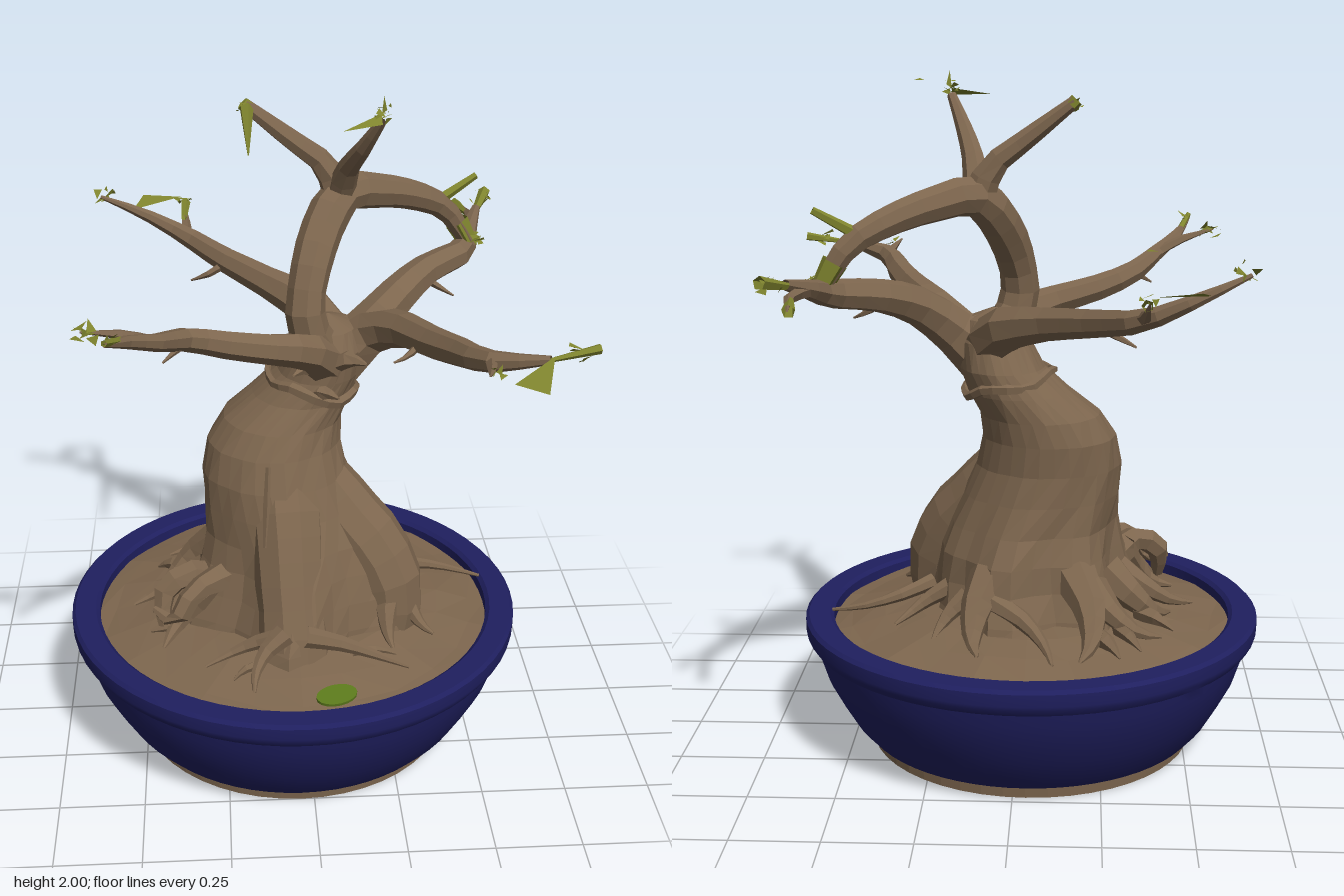
import * as THREE from 'three';
import { toCreasedNormals } from 'three/addons/utils/BufferGeometryUtils.js';

const CX = -0.037, CZ = 0.013; // pot centre

const material = (name, color, opts = {}) => {
  const m = new THREE.MeshStandardMaterial({ color, ...opts });
  m.name = name;
  return m;
};

// small seeded generator
function seeded(seed) {
  let s = seed;
  return () => (s = (s * 16807) % 2147483647) / 2147483647;
}

export function createModel() {
  const model = new THREE.Group();
  const glaze = material('blue glaze', 0x1f1f5f);
  const bark = material('brown bark', 0x7d664e, { flatShading: true, side: THREE.DoubleSide });
  const leafGreen = material('olive leaf', 0x7f842e, { flatShading: true, side: THREE.DoubleSide });
  const moss = material('green moss', 0x5c7a1c);
  const rand = seeded(77);

  const add = (name, geometry, mat, parent = model) => {
    const mesh = new THREE.Mesh(geometry, mat);
    mesh.name = name;
    parent.add(mesh);
    return mesh;
  };
  const group = (name) => {
    const g = new THREE.Group();
    g.name = name;
    model.add(g);
    return g;
  };
  const lathe = (profile, sides) =>
    new THREE.LatheGeometry(profile.map(([r, y]) => new THREE.Vector2(r, y)), sides).translate(CX, 0, CZ);

  // Tapered limb through points, radii spread evenly along its length
  function limb(name, points, radii, sides = 7, mat = bark, parent = model) {
    const curve = new THREE.CatmullRomCurve3(points.map((p) => new THREE.Vector3(...p)));
    const seg = Math.max(4, (points.length - 1) * 2);
    const geo = new THREE.TubeGeometry(curve, seg, 1, sides);
    const pos = geo.attributes.position, v = new THREE.Vector3();
    for (let i = 0; i <= seg; i++) {
      const c = curve.getPointAt(i / seg);
      const f = (i / seg) * (radii.length - 1), k = Math.min(Math.floor(f), radii.length - 2);
      const r = THREE.MathUtils.lerp(radii[k], radii[k + 1], f - k);
      for (let j = 0; j <= sides; j++) {
        const n = i * (sides + 1) + j;
        v.fromBufferAttribute(pos, n).sub(c).multiplyScalar(r).add(c);
        pos.setXYZ(n, v.x, v.y, v.z);
      }
    }
    return add(name, geo, mat, parent);
  }

  // Pot: bowl with rolled rim, unglazed foot
  const bowl = lathe([[0.48, 0.04], [0.51, 0.04], [0.55, 0.085], [0.588, 0.15], [0.625, 0.22], [0.646, 0.285],
    [0.655, 0.325], [0.668, 0.328], [0.682, 0.348], [0.685, 0.36], [0.685, 0.395], [0.675, 0.405],
    [0.612, 0.405], [0.6, 0.395], [0.6, 0.33]], 64);
  add('potBowl', toCreasedNormals(bowl, 0.6), glaze);
  add('potFoot', lathe([[0, 0], [0.487, 0], [0.49, 0.03], [0.488, 0.046], [0.45, 0.046]], 48), bark);

  // Soil: uneven low mound
  const soil = lathe([[0.605, 0.365], [0.55, 0.375], [0.45, 0.4], [0.35, 0.42], [0.2, 0.435], [0, 0.44]], 24);
  const sp = soil.attributes.position;
  for (let i = 0; i < sp.count; i++) {
    const x = sp.getX(i), z = sp.getZ(i);
    sp.setY(i, sp.getY(i) + 0.007 * Math.sin(x * 17 + 1) * Math.cos(z * 14));
  }
  add('soil', soil, bark);

  // Trunk: stacked rings [y, x, z, radius x, radius z, lobe strength]
  const rings = [
    [0.38, -0.03, 0.03, 0.335, 0.345, 0.45], [0.44, -0.03, 0.03, 0.32, 0.33, 0.42], [0.52, -0.02, 0.03, 0.3, 0.3, 0.36],
    [0.6, -0.02, 0.02, 0.28, 0.28, 0.28], [0.68, -0.035, 0.02, 0.255, 0.25, 0.18], [0.77, -0.065, 0.01, 0.236, 0.225, 0.08],
    [0.86, -0.088, 0, 0.217, 0.208, 0.04], [0.95, -0.09, -0.02, 0.198, 0.196, 0.02], [1.02, -0.065, -0.035, 0.176, 0.182, 0],
    [1.09, -0.005, -0.05, 0.15, 0.163, 0], [1.16, 0.045, -0.05, 0.123, 0.153, 0], [1.24, 0.07, -0.035, 0.103, 0.138, 0],
    [1.3, 0.07, -0.03, 0.08, 0.1, 0], [1.33, 0.07, -0.03, 0.005, 0.005, 0]];
  const lobes = [[95, 1.05, 24], [28, 0.95, 26], [165, 0.9, 28], [228, 0.8, 22], [282, 0.85, 20], [330, 0.4, 16]];
  const sides = 30, verts = [], index = [];
  rings.forEach(([y, x, z, rx, rz, a], i) => {
    for (let j = 0; j < sides; j++) {
      const deg = (j / sides) * 360, t = THREE.MathUtils.degToRad(deg);
      let bump = 0;
      for (const [at, amp, w] of lobes) {
        const d = ((deg - at + 540) % 360) - 180;
        bump += amp * Math.exp(-((d / w) ** 2));
      }
      const k = 1 + a * (bump - 0.6) + 0.012 * Math.sin(j * 2.3 + i * 1.7);
      verts.push(x + rx * k * Math.cos(t), y, z + rz * k * Math.sin(t));
      if (i < rings.length - 1) {
        const p = i * sides + j, q = i * sides + ((j + 1) % sides);
        index.push(p, p + sides, q, q, p + sides, q + sides);
      }
    }
  });
  const trunk = new THREE.BufferGeometry();
  trunk.setAttribute('position', new THREE.Float32BufferAttribute(verts, 3));
  trunk.setIndex(index);
  trunk.computeVertexNormals();
  add('trunk', trunk, bark);

  // Swollen legs at the foot of the trunk
  limb('rightLeg', [[0, 0.88, 0.02], [0.1, 0.74, 0.07], [0.2, 0.62, 0.12], [0.245, 0.51, 0.15], [0.24, 0.39, 0.16]],
    [0.09, 0.11, 0.115, 0.11, 0.095], 10);
  limb('frontLeg', [[-0.07, 0.88, 0.07], [-0.06, 0.72, 0.17], [-0.055, 0.56, 0.25], [-0.05, 0.47, 0.29], [-0.05, 0.39, 0.31]],
    [0.1, 0.115, 0.11, 0.105, 0.115], 10);

  // Rough collar, knots and seam in the bark
  const collar = [];
  for (let i = 0; i <= 12; i++) {
    const t = (i / 12) * Math.PI * 2;
    collar.push([0.025 + 0.132 * Math.cos(t), 1.12 - 0.03 * Math.cos(t) + 0.012 * Math.sin(i * 2.1), -0.05 + 0.152 * Math.sin(t)]);
  }
  limb('barkCollar', collar, [0.012, 0.02, 0.01, 0.018, 0.012], 5);
  limb('barkSeam', [[-0.13, 0.72, 0.26], [-0.122, 0.82, 0.22], [-0.115, 0.94, 0.178]], [0.006, 0.012, 0.008], 4);
  for (const [x, y, z, dx, dz] of [[0.12, 1.24, 0.1, 0.05, 0.03], [0, 1.22, 0.1, -0.04, 0.05],
    [0.13, 1.29, -0.06, 0.03, -0.03], [0.05, 1.14, 0.1, 0.04, 0.04], [0.03, 1.3, -0.1, -0.05, -0.03]])
    limb('barkKnot', [[x - dx, y - 0.03, z - dz], [x, y, z], [x + dx, y - 0.005, z + dz]], [0.03, 0.026, 0.004], 5);

  // Surface roots: [start x, z, end x, z, radius, sideways bend, forked]
  const roots = group('roots');
  const rootList = [
    [0.07, -0.2, 0.11, -0.43, 0.06, 0.03, 0], [0.06, -0.26, -0.12, -0.48, 0.032, -0.04, 0], [0.14, -0.2, 0.24, -0.3, 0.03, 0.02, 0],
    [-0.17, -0.18, -0.2, -0.46, 0.06, -0.04, 1], [-0.22, -0.2, -0.42, -0.27, 0.045, 0.04, 1],
    [-0.26, -0.1, -0.46, -0.06, 0.055, 0.05, 1], [-0.3, 0.02, -0.53, 0.03, 0.04, 0.03, 0], [-0.3, 0.08, -0.47, 0.2, 0.055, -0.03, 0],
    [-0.28, 0.14, -0.44, 0.28, 0.05, 0.03, 0], [-0.08, 0.38, -0.31, 0.38, 0.026, 0.03, 0], [-0.08, 0.38, -0.18, 0.52, 0.03, 0.03, 1],
    [-0.02, 0.39, 0.28, 0.42, 0.028, -0.025, 1], [0.24, 0.2, 0.24, 0.33, 0.04, 0.01, 0], [0.28, 0.16, 0.37, 0.26, 0.035, 0.01, 0],
    [0.26, -0.02, 0.56, -0.08, 0.022, -0.04, 0], [0.2, -0.1, 0.36, -0.18, 0.028, 0.02, 0]];
  for (const [x0, z0, x1, z1, r, b, forked] of rootList) {
    const dx = x1 - x0, dz = z1 - z0, len = Math.hypot(dx, dz), nx = (-dz / len) * b, nz = (dx / len) * b;
    const at = (t, y, s) => [x0 + dx * t + nx * s, y, z0 + dz * t + nz * s];
    limb('root', [at(0, 0.44 + r * 2, 0), at(0.35, 0.435 + r * 0.9, 0.9), at(0.7, 0.425, 0.7), at(1, 0.405, -0.3)],
      [r * 1.15, r * 0.85, r * 0.5, 0.005], 7, bark, roots);
    if (forked) limb('rootFork', [at(0.45, 0.435, 0.9), at(0.7, 0.425, 2), at(0.88, 0.4, 2.6)],
      [r * 0.55, r * 0.4, 0.003], 5, bark, roots);
  }
  // Gnarled root cluster
  limb('gnarledRoot', [[-0.28, 0.52, 0.1], [-0.36, 0.575, 0.15], [-0.43, 0.53, 0.18], [-0.43, 0.44, 0.22]], [0.06, 0.04, 0.035, 0.02], 6, bark, roots);
  limb('gnarledRoot', [[-0.24, 0.57, 0.15], [-0.34, 0.56, 0.23], [-0.4, 0.48, 0.26], [-0.46, 0.5, 0.22]], [0.05, 0.035, 0.03, 0.01], 6, bark, roots);

  // Main branches
  const br = group('branches');
  const branch = (points, radii, s = 7) => limb('branch', points, radii, s, bark, br);
  const twig = (points, r = 0.016) => limb('twig', points, [r, r * 0.75, 0.003], 5, bark, br);
  // arching leader and its fork
  branch([[0.06, 1.2, 0.02], [0, 1.35, 0.06], [0.015, 1.48, 0.02], [0.065, 1.6, -0.07], [0.12, 1.66, -0.13],
    [0.22, 1.645, -0.2], [0.33, 1.61, -0.27], [0.44, 1.55, -0.33], [0.5, 1.47, -0.345], [0.53, 1.42, -0.35]],
  [0.075, 0.06, 0.055, 0.06, 0.062, 0.055, 0.048, 0.042, 0.034, 0.025], 8);
  branch([[0.11, 1.65, -0.12], [0.07, 1.74, -0.13], [-0.03, 1.82, -0.13], [-0.16, 1.92, -0.14]], [0.05, 0.034, 0.027, 0.018]);
  branch([[0.11, 1.66, -0.12], [0.125, 1.75, -0.06], [0.16, 1.84, 0.04], [0.2, 1.93, 0.11]], [0.045, 0.032, 0.024, 0.014]);
  // back left
  branch([[0.08, 1.2, -0.06], [0.05, 1.28, -0.16], [-0.08, 1.325, -0.29], [-0.22, 1.355, -0.44], [-0.35, 1.39, -0.59],
    [-0.48, 1.45, -0.63], [-0.61, 1.51, -0.62]], [0.085, 0.065, 0.048, 0.04, 0.033, 0.02, 0.006]);
  twig([[-0.34, 1.39, -0.57], [-0.345, 1.41, -0.66], [-0.35, 1.45, -0.73]], 0.02);
  twig([[-0.22, 1.35, -0.43], [-0.27, 1.32, -0.42], [-0.33, 1.29, -0.44]], 0.015);
  // front left
  branch([[0.06, 1.2, 0.02], [0, 1.28, 0.13], [-0.1, 1.315, 0.19], [-0.22, 1.345, 0.225], [-0.33, 1.385, 0.275],
    [-0.41, 1.43, 0.4], [-0.48, 1.475, 0.5], [-0.53, 1.52, 0.63]], [0.08, 0.055, 0.045, 0.04, 0.033, 0.025, 0.018, 0.005]);
  twig([[-0.41, 1.43, 0.4], [-0.49, 1.47, 0.44], [-0.6, 1.5, 0.49]], 0.018);
  twig([[-0.32, 1.38, 0.27], [-0.35, 1.38, 0.31], [-0.4, 1.35, 0.35]], 0.014);
  twig([[-0.08, 1.31, 0.18], [-0.09, 1.29, 0.15], [-0.11, 1.27, 0.14]], 0.018);
  // back right
  branch([[0.08, 1.17, -0.04], [0.19, 1.27, -0.06], [0.28, 1.345, -0.12], [0.38, 1.39, -0.22], [0.5, 1.41, -0.32],
    [0.54, 1.44, -0.44], [0.58, 1.47, -0.56]], [0.09, 0.07, 0.058, 0.048, 0.042, 0.028, 0.014]);
  twig([[0.54, 1.44, -0.45], [0.565, 1.44, -0.58], [0.545, 1.43, -0.73]], 0.02);
  twig([[0.36, 1.38, -0.2], [0.42, 1.34, -0.2], [0.46, 1.32, -0.18]], 0.014);
  // front right
  branch([[0.09, 1.17, -0.03], [0.2, 1.28, -0.01], [0.27, 1.325, 0.09], [0.33, 1.345, 0.23], [0.39, 1.375, 0.38],
    [0.45, 1.41, 0.53], [0.59, 1.44, 0.6]], [0.085, 0.065, 0.052, 0.046, 0.04, 0.03, 0.012]);
  twig([[0.45, 1.41, 0.52], [0.44, 1.42, 0.6], [0.42, 1.44, 0.69]], 0.018);
  twig([[0.34, 1.35, 0.24], [0.38, 1.31, 0.23], [0.41, 1.29, 0.25]], 0.016);
  twig([[0.32, 1.34, 0.2], [0.27, 1.31, 0.25], [0.23, 1.3, 0.27]], 0.014);

  // Green shoots
  const leaves = group('leaves');
  const shoot = (a, b, r0, r1) => limb('greenShoot', [a, b], [r0, r1], 5, leafGreen, leaves);
  shoot([0.42, 1.57, -0.325], [0.54, 1.64, -0.355], 0.018, 0.011);
  shoot([0.485, 1.5, -0.345], [0.53, 1.42, -0.35], 0.038, 0.028);
  shoot([0.57, 1.46, -0.53], [0.625, 1.49, -0.67], 0.009, 0.019);
  shoot([0.56, 1.44, -0.6], [0.54, 1.43, -0.74], 0.008, 0.018);
  shoot([-0.155, 1.91, -0.13], [-0.16, 1.88, 0.23], 0.02, 0.002);
  shoot([-0.15, 1.91, -0.14], [-0.165, 1.925, -0.14], 0.02, 0.02);
  shoot([0.59, 1.44, 0.6], [0.72, 1.46, 0.58], 0.006, 0.014);
  shoot([-0.35, 1.43, -0.64], [-0.345, 1.45, -0.74], 0.01, 0.016);
  shoot([-0.5, 1.495, 0.54], [-0.53, 1.53, 0.64], 0.012, 0.009);

  // Flat leaf blades, merged as loose triangles
  const tri = [
    0.48, 1.42, 0.7, 0.56, 1.41, 0.745, 0.6, 1.45, 0.6,
    -0.51, 1.46, -0.64, -0.48, 1.48, -0.73, -0.36, 1.47, -0.735,
    0.09, 1.93, 0.2, 0.2, 1.95, 0.1, 0.2, 1.93, 0.14,
    -0.62, 1.51, 0.48, -0.56, 1.49, 0.47, -0.57, 1.5, 0.51,
    -0.38, 1.55, -0.47, -0.35, 1.55, -0.47, -0.36, 1.55, -0.43,
    0.24, 1.98, -0.28, 0.27, 1.98, -0.28, 0.255, 1.985, -0.26,
    0.2, 1.95, 0.11, 0.215, 1.96, 0.1, 0.205, 2, 0.11];
  const tips = [[-0.6, 1.52, -0.61, 0.04, 6], [-0.35, 1.46, -0.72, 0.03, 4], [-0.59, 1.5, 0.49, 0.045, 8], [-0.52, 1.53, 0.6, 0.03, 4],
    [0.54, 1.44, -0.35, 0.05, 7], [0.6, 1.48, -0.63, 0.04, 6], [0.66, 1.45, 0.59, 0.045, 6], [0.44, 1.44, 0.66, 0.035, 5],
    [-0.16, 1.92, -0.14, 0.03, 7], [0.2, 1.955, 0.11, 0.035, 10]];
  const jitter = (s) => (rand() - 0.5) * 2 * s;
  for (const [x, y, z, s, n] of tips) for (let i = 0; i < n; i++) {
    const px = x + jitter(s * 0.5), py = y + jitter(s * 0.4), pz = z + jitter(s * 0.5);
    for (let k = 0; k < 3; k++) tri.push(px + jitter(s * 0.6), Math.min(1.99, py + jitter(s * 0.4)), pz + jitter(s * 0.6));
  }
  const blades = new THREE.BufferGeometry();
  blades.setAttribute('position', new THREE.Float32BufferAttribute(tri, 3));
  blades.computeVertexNormals();
  add('leafBlades', blades, leafGreen, leaves);

  // Moss patch on the soil
  const patch = add('mossPatch', new THREE.CylinderGeometry(1, 1, 0.009, 18), moss);
  patch.position.set(0.06, 0.391, 0.535);
  patch.scale.set(0.06, 1, 0.037);
  patch.rotation.set(0.2, 0.25, 0);
  return model;
}
